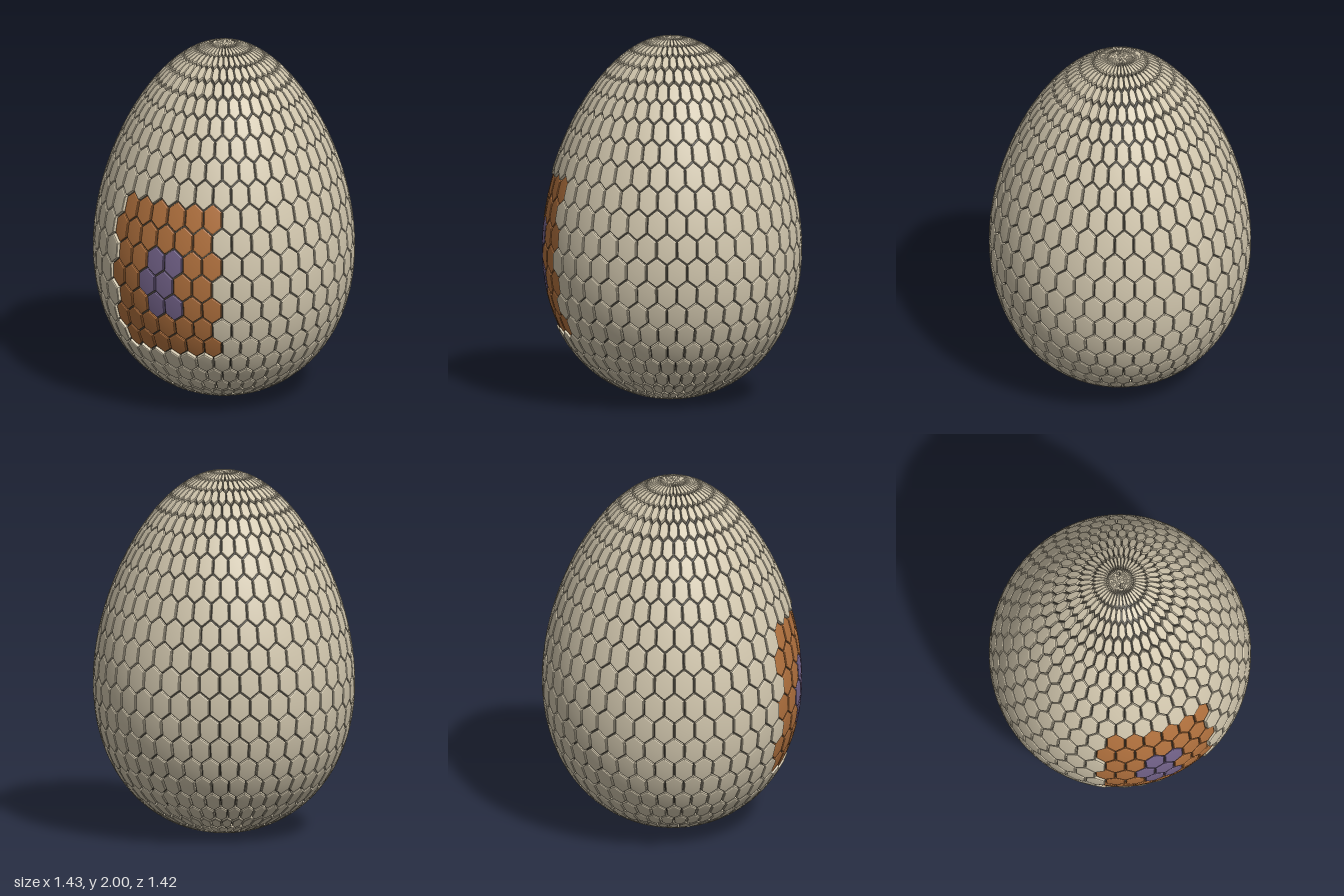
import * as THREE from 'three';

const ROWS = 24, COLS = 40;
const A = 0.704, K = 0.18;          // egg width and taper
const GAP = 0.0032, BEVEL = 0.004;  // groove half width, edge bevel
const DEPTH = 0.022;                // plate thickness

// Point on the egg (or below it by depth) and its outward normal
function egg(theta, phi, depth = 0) {
  const c = Math.cos(theta), s = Math.sin(theta);
  const r = A * s * (1 - K * c);
  const slope = A * (c - K * (c * c - s * s));
  const len = Math.hypot(s, slope) || 1;
  const nr = s / len, ny = slope / len;
  const rr = Math.max(0, r - nr * depth);
  const sp = Math.sin(phi), cp = Math.cos(phi);
  return {
    p: new THREE.Vector3(rr * sp, 1 + c - ny * depth, rr * cp),
    n: new THREE.Vector3(nr * sp, ny, nr * cp),
  };
}

// Pointy-top hexagon in column/row units, counter-clockwise from outside
const HEX = [[0, -2 / 3], [-0.5, -1 / 3], [-0.5, 1 / 3], [0, 2 / 3], [0.5, 1 / 3], [0.5, -1 / 3]];

function addPlate(out, u, v, recess) {
  const at = (du, dv, depth) => {
    const theta = THREE.MathUtils.clamp((v + dv) * Math.PI / ROWS, 0, Math.PI);
    return egg(theta, (u + du) * 2 * Math.PI / COLS, depth + recess);
  };
  const centre = at(0, 0, 0);
  const half = Math.hypot(centre.p.x, centre.p.z) * Math.PI / COLS;
  const ring = (inset, depth) => {
    const s = Math.max(0.8, 1 - inset / half);
    return HEX.map(([a, b]) => at(a * s, b * s, depth));
  };
  const rings = [ring(GAP + BEVEL, 0), ring(GAP, 0.003), ring(GAP, DEPTH + 0.004)];
  const push = (vertices, flat) => {
    let normal;
    if (flat) {
      const [a, b, c] = vertices.map((q) => q.p);
      normal = b.clone().sub(a).cross(c.clone().sub(a)).normalize();
    }
    for (const q of vertices) {
      out.position.push(...q.p.toArray());
      out.normal.push(...(normal || q.n).toArray());
    }
  };
  for (let i = 0; i < 6; i++) {
    const j = (i + 1) % 6;
    push([centre, rings[0][i], rings[0][j]], false);      // smooth face
    for (let k = 0; k < 2; k++) {                         // bevel, then side wall
      push([rings[k][i], rings[k + 1][i], rings[k + 1][j]], true);
      push([rings[k][i], rings[k + 1][j], rings[k][j]], true);
    }
  }
}

function material(name, color) {
  const m = new THREE.MeshStandardMaterial({ color });
  m.name = name;
  return m;
}

export function createModel() {
  const group = new THREE.Group();
  group.name = 'platedEgg';

  // Dark core seen through the grooves
  const profile = [];
  for (let i = 0; i <= 48; i++) {
    const { p } = egg(Math.PI * (1 - i / 48), 0, DEPTH);
    profile.push(new THREE.Vector2(i % 48 ? p.z : 0, p.y));
  }
  const core = new THREE.Mesh(new THREE.LatheGeometry(profile, 80), material('dark groove', 0x4a463c));
  core.name = 'core';
  group.add(core);

  // Staggered rows of hexagonal plates, with a recessed patch on the front
  const sets = {
    shellPlates: { position: [], normal: [], mat: material('cream shell', 0xd2c7ae) },
    patchPlates: { position: [], normal: [], mat: material('orange brown', 0xb4733f) },
    centrePlates: { position: [], normal: [], mat: material('muted purple', 0x77668e) },
  };
  for (let row = 0; row < ROWS; row++) {
    for (let col = -COLS / 2; col < COLS / 2; col++) {
      const u = col + (row % 2 ? 0 : 0.5);
      const patch = row >= 10 && row <= 16 && u >= -3 && u <= 2.5;
      const middle = row >= 12 && row <= 14 && u >= -1 && u <= 0.5;
      const set = middle ? sets.centrePlates : patch ? sets.patchPlates : sets.shellPlates;
      addPlate(set, u, row + 0.5, patch ? 0.011 : 0);
    }
  }
  for (const [name, set] of Object.entries(sets)) {
    const geometry = new THREE.BufferGeometry();
    geometry.setAttribute('position', new THREE.Float32BufferAttribute(set.position, 3));
    geometry.setAttribute('normal', new THREE.Float32BufferAttribute(set.normal, 3));
    const mesh = new THREE.Mesh(geometry, set.mat);
    mesh.name = name;
    group.add(mesh);
  }
  return group;
}
